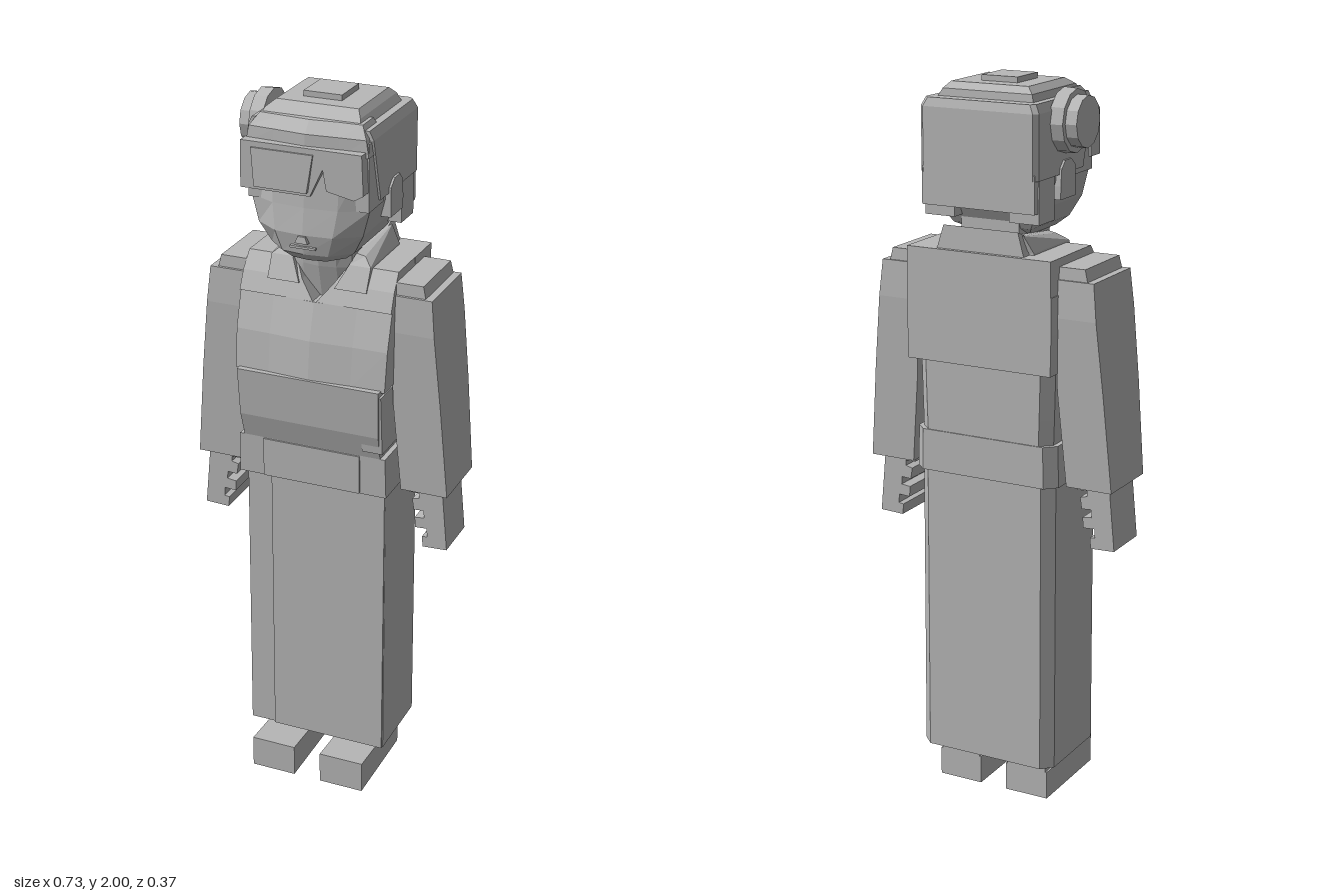
import * as THREE from 'three';

const grey = new THREE.MeshStandardMaterial({ color: 0xb8b8b8 });
grey.name = 'plain grey';
grey.flatShading = true;
grey.side = THREE.DoubleSide;

// Solid through rings [y, points], each point [x, z, lift], counter-clockwise from the front left corner
function loft(rings) {
  const pos = [];
  const at = (r, i) => {
    const p = r[1][i % r[1].length];
    return [p[0], r[0] + (p[2] || 0), p[1]];
  };
  const tri = (a, b, c) => pos.push(...a, ...b, ...c);
  const n = rings[0][1].length;
  for (let k = 0; k < rings.length - 1; k++) {
    const lo = rings[k], hi = rings[k + 1];
    for (let i = 0; i < n; i++) {
      tri(at(lo, i), at(lo, i + 1), at(hi, i + 1));
      tri(at(lo, i), at(hi, i + 1), at(hi, i));
    }
  }
  const first = rings[0], last = rings[rings.length - 1];
  for (let i = 1; i < n - 1; i++) {
    tri(at(first, 0), at(first, i + 1), at(first, i));
    tri(at(last, 0), at(last, i), at(last, i + 1));
  }
  const g = new THREE.BufferGeometry();
  g.setAttribute('position', new THREE.Float32BufferAttribute(pos, 3));
  g.computeVertexNormals();
  return g;
}

// Ring shapes
const rect = (x0, x1, z0, z1) => [[x0, z1], [x1, z1], [x1, z0], [x0, z0]];
const bevelBack = (w, z0, z1, c = 0.03) => [[-w, z1], [w, z1], [w, z0 + c], [w - c, z0], [c - w, z0], [-w, z0 + c]];
const bowed = (w, zBack, zSide, zFront) => [
  [-w, zSide], [-w * 0.55, zFront - 0.008], [0, zFront], [w * 0.55, zFront - 0.008], [w, zSide], [w, zBack], [-w, zBack]];

// Box from its limits
function box(x0, x1, y0, y1, z0, z1) {
  const g = new THREE.BoxGeometry(x1 - x0, y1 - y0, z1 - z0);
  return g.translate((x0 + x1) / 2, (y0 + y1) / 2, (z0 + z1) / 2);
}

// Front outline pushed along z
function plate(points, z0, z1) {
  const shape = new THREE.Shape(points.map(p => new THREE.Vector2(p[0], p[1])));
  return new THREE.ExtrudeGeometry(shape, { depth: z1 - z0, bevelEnabled: false }).translate(0, 0, z0);
}

export function createModel() {
  const model = new THREE.Group();
  model.name = 'robedFigure';
  const add = (name, geometry, parent = model) => {
    const m = new THREE.Mesh(geometry, grey);
    m.name = name;
    parent.add(m);
    return m;
  };

  // Long skirt with an overlapping front panel
  add('skirt', loft([
    [0.115, bevelBack(0.205, -0.163, 0.095)],
    [0.94, bevelBack(0.203, -0.16, 0.095)],
  ]));
  add('skirtPanel', box(-0.13, 0.203, 0.115, 0.94, 0.08, 0.102));

  // Sash and waist
  add('sash', loft([
    [0.935, bevelBack(0.215, -0.168, 0.122)],
    [1.05, bevelBack(0.212, -0.168, 0.125)],
  ]));
  add('sashFront', box(-0.14, 0.14, 0.938, 1.048, 0.1, 0.13));
  add('waist', loft([
    [1.05, bevelBack(0.198, -0.165, 0.125)],
    [1.12, bevelBack(0.2, -0.165, 0.145)],
    [1.255, bevelBack(0.203, -0.165, 0.155)],
  ]));
  add('waistFlap', loft([
    [1.07, rect(0.15, 0.208, 0.02, 0.135)],
    [1.24, rect(0.15, 0.208, 0.02, 0.15)],
  ]));

  // Chest, with the shoulders parting in a neckline
  add('chest', loft([
    [1.25, bowed(0.213, -0.187, 0.137, 0.148)],
    [1.36, bowed(0.215, -0.187, 0.125, 0.135)],
    [1.46, bowed(0.215, -0.187, 0.095, 0.105)],
  ]));
  add('upperBack', box(-0.213, 0.213, 1.45, 1.555, -0.187, -0.07));
  add('neck', loft([
    [1.45, bowed(0.085, -0.12, 0.03, 0.05)],
    [1.55, bowed(0.085, -0.12, 0.05, 0.075)],
    [1.64, bowed(0.085, -0.12, 0.06, 0.09)],
  ]));
  add('collarBack', loft([
    [1.55, rect(-0.13, 0.13, -0.175, -0.09)],
    [1.61, [[-0.11, -0.1, -0.02], [0.11, -0.1, -0.02], [0.11, -0.172, 0.008], [-0.11, -0.172, 0.008]]],
  ]));

  // Parts that come in pairs
  for (const side of [1, -1]) {
    const half = new THREE.Group();
    half.name = side > 0 ? 'leftSide' : 'rightSide';
    half.scale.x = side;
    model.add(half);

    add('shoulder', loft([
      [1.46, rect(0.005, 0.215, -0.1, 0.103)],
      [1.51, rect(0.045, 0.214, -0.1, 0.08)],
      [1.555, rect(0.075, 0.212, -0.1, 0.045)],
    ]), half);
    add('collar', loft([
      [1.5, rect(0.05, 0.14, -0.14, 0.09)],
      [1.56, rect(0.08, 0.14, -0.14, 0.06)],
      [1.59, [[0.09, 0.035, -0.005], [0.115, 0.035, -0.01], [0.115, -0.15, 0.015], [0.09, -0.15, 0.015]]],
    ]), half);

    add('sleeve', loft([
      [0.94, rect(0.235, 0.367, -0.133, 0.065)],
      [1.2, rect(0.212, 0.345, -0.143, 0.073)],
      [1.4, rect(0.208, 0.325, -0.15, 0.078)],
      [1.5, rect(0.205, 0.315, -0.145, 0.072)],
    ]), half);
    add('sleeveTop', loft([
      [1.49, rect(0.2, 0.297, -0.14, 0.065)],
      [1.533, rect(0.2, 0.287, -0.138, 0.062)],
    ]), half);

    // Hand outline with notches between the fingers
    add('hand', plate([
      [0.25, 0.95], [0.345, 0.95], [0.362, 0.768], [0.293, 0.765], [0.29, 0.795], [0.305, 0.797],
      [0.303, 0.822], [0.27, 0.82], [0.268, 0.85], [0.295, 0.853], [0.293, 0.875], [0.265, 0.873],
      [0.26, 0.905], [0.28, 0.91], [0.28, 0.925], [0.25, 0.925]], -0.1, 0.042), half);

    add('shoe', loft([
      [0, rect(0.04, 0.17, -0.11, 0.167)],
      [0.08, [[0.04, 0.167, 0.012], [0.17, 0.167, 0.012], [0.17, -0.11], [0.04, -0.11]]],
    ]), half);
    add('ankle', box(0.045, 0.165, 0.06, 0.13, -0.11, 0.03), half);

    // Eight-cornered ear and the hair lock behind it
    const ear = plate([
      [-0.02, 1.69], [0.065, 1.69], [0.065, 1.725], [0.06, 1.77], [0.04, 1.79],
      [0.005, 1.79], [-0.02, 1.77]], 0, 0.035);
    add('ear', ear.rotateY(Math.PI / 2).translate(0.143, 0, 0), half);
    add('hairLock', box(0.08, 0.168, 1.64, 1.78, -0.165, -0.08), half);
    add('sideburn', box(0.1, 0.166, 1.74, 1.92, 0.04, 0.14), half);
  }

  // Face narrows to the chin
  add('face', loft([
    [1.59, bowed(0.085, -0.06, 0.09, 0.14)],
    [1.615, bowed(0.115, -0.11, 0.11, 0.168)],
    [1.67, bowed(0.145, -0.14, 0.125, 0.178)],
    [1.74, bowed(0.163, -0.14, 0.125, 0.168)],
    [1.9, bowed(0.163, -0.14, 0.12, 0.155)],
  ]));
  add('nose', loft([
    [1.65, rect(-0.018, 0.018, 0.16, 0.186)],
    [1.668, rect(-0.01, 0.01, 0.16, 0.184)],
  ]));
  add('mouth', box(-0.035, 0.035, 1.633, 1.639, 0.16, 0.178));

  // Hair: main block, nape and stepped crown
  add('hair', loft([
    [1.755, bevelBack(0.172, -0.187, 0.075, 0.012)],
    [1.925, bevelBack(0.172, -0.187, 0.125, 0.012)],
    [1.948, bevelBack(0.16, -0.18, 0.125, 0.012)],
  ]));
  add('nape', box(-0.165, 0.165, 1.67, 1.77, -0.186, -0.145));
  add('crown', loft([
    [1.945, rect(-0.14, 0.14, -0.145, 0.13)],
    [1.968, rect(-0.135, 0.125, -0.143, 0.1)],
    [1.985, rect(-0.115, 0.11, -0.125, 0.075)],
  ]));
  add('topKnot', box(-0.06, 0.046, 1.98, 2, -0.08, 0.03));
  add('hairBand', loft([
    [1.885, bowed(0.168, 0.05, 0.148, 0.16)],
    [1.93, bowed(0.16, 0.05, 0.145, 0.158)],
    [1.96, bowed(0.14, 0.05, 0.12, 0.13)],
  ]));

  // Fringe with a jagged gap
  add('fringe', plate([
    [-0.172, 1.775], [0.02, 1.775], [0.055, 1.85], [0.065, 1.795], [0.14, 1.78],
    [0.165, 1.795], [0.16, 1.9], [-0.17, 1.9]], 0.12, 0.175));
  add('fringeSwell', loft([
    [1.785, rect(-0.13, 0.015, 0.15, 0.186)],
    [1.885, rect(-0.14, 0.03, 0.15, 0.18)],
  ]));

  // Round ornament on the right side of the head
  const ornament = new THREE.Group();
  ornament.name = 'headOrnament';
  ornament.position.set(0, 1.892, -0.03);
  model.add(ornament);
  const disc = (name, rOuter, rInner, x0, x1) => {
    const g = new THREE.CylinderGeometry(rInner, rOuter, x1 - x0, 12);
    add(name, g.rotateZ(-Math.PI / 2).translate((x0 + x1) / 2, 0, 0), ornament);
  };
  disc('ornamentCap', 0.068, 0.068, -0.238, -0.2);
  disc('ornamentDisc', 0.083, 0.085, -0.206, -0.168);
  disc('ornamentBase', 0.085, 0.03, -0.168, -0.14);

  return model;
}
